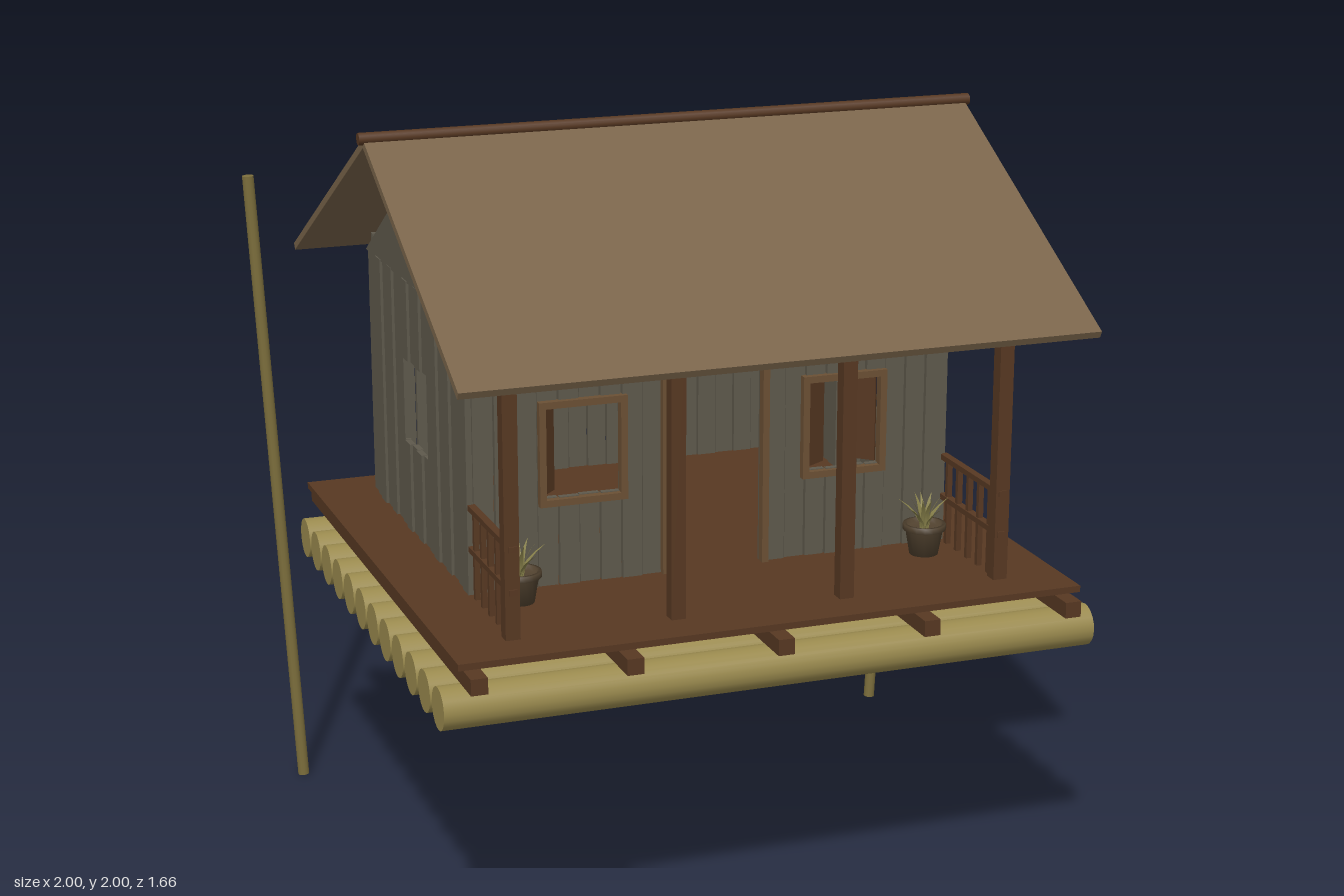
import * as THREE from 'three';

const mat = (name, color) => {
  const m = new THREE.MeshStandardMaterial({ color });
  m.name = name;
  return m;
};

export function createModel() {
  const root = new THREE.Group();
  root.name = 'raftCabin';
  const logWood = mat('logWood', 0x9a8a4e);
  const poleWood = mat('poleWood', 0x7c6e3c);
  const brown = mat('darkBrownWood', 0x573822);
  const wall = mat('weatheredPlank', 0x5e594c);
  const thatch = mat('roofTan', 0x79644a);
  const trim = mat('frameWood', 0x6b5034);
  const clay = mat('potClay', 0x51422f);
  const leaf = mat('leafOlive', 0x87804a);
  leaf.side = THREE.DoubleSide;

  const add = (name, geo, m, x = 0, y = 0, z = 0, parent = root) => {
    const mesh = new THREE.Mesh(geo, m);
    mesh.name = name;
    mesh.position.set(x, y, z);
    parent.add(mesh);
    return mesh;
  };
  const box = (name, m, w, h, d, x, y, z, parent = root) =>
    add(name, new THREE.BoxGeometry(w, h, d), m, x, y, z, parent);

  // Raft logs, joists and deck
  for (let i = 0; i < 12; i++) {
    add('raftLog', new THREE.CylinderGeometry(0.055, 0.055, 1.74, 20), logWood, 0, 0.73, 0.73 - i * 0.1255)
      .rotation.z = Math.PI / 2;
  }
  for (const x of [-0.79, -0.395, 0, 0.395, 0.79]) box('joist', brown, 0.043, 0.042, 1.63, x, 0.807, 0.003);
  box('deck', brown, 1.66, 0.017, 1.55, 0, 0.845, 0);

  // Leaning mooring poles
  for (const s of [-1, 1]) {
    const a = new THREE.Vector3(s * 0.895, 0.001, -0.685), b = new THREE.Vector3(s * 0.983, 1.77, -0.685);
    const pole = add('mooringPole', new THREE.CylinderGeometry(0.016, 0.016, a.distanceTo(b), 12), poleWood);
    pole.position.copy(a).lerp(b, 0.5);
    pole.quaternion.setFromUnitVectors(new THREE.Vector3(0, 1, 0), b.clone().sub(a).normalize());
  }

  // Plank wall in its own XY plane; openings are [u0, u1, y0, y1]
  const plankWall = (name, u0, u1, top, openings, count) => {
    const g = new THREE.Group();
    g.name = name;
    const pitch = (u1 - u0) / count, base = 0.853;
    for (let i = 0; i < count; i++) {
      const a = u0 + i * pitch + 0.002, b = u0 + (i + 1) * pitch - 0.002;
      const out = ((i * 7) % 5) * 0.0022 - 0.0044;
      const cuts = [a, ...openings.flatMap(o => [o[0], o[1]]).filter(c => c > a && c < b), b].sort((p, q) => p - q);
      for (let k = 0; k + 1 < cuts.length; k++) {
        const w = cuts[k + 1] - cuts[k], mid = (cuts[k] + cuts[k + 1]) / 2;
        const hole = openings.find(o => mid > o[0] && mid < o[1]);
        const spans = hole ? [[base, hole[2]], [hole[3], top]] : [[base, top]];
        for (const [y0, y1] of spans) {
          if (y1 - y0 > 0.005) box('plank', wall, w, y1 - y0, 0.016, mid, (y0 + y1) / 2, out, g);
        }
      }
    }
    root.add(g);
    return g;
  };
  const windowHole = s => [s * 0.36 - 0.102, s * 0.36 + 0.102, 1.09, 1.33];
  plankWall('frontWall', -0.65, 0.65, 1.55,
    [windowHole(-1), [-0.13, 0.13, 0.853, 1.395], windowHole(1)], 23).position.z = 0.3;
  const back = plankWall('backWall', -0.65, 0.65, 1.59, [], 23);
  back.position.z = -0.66;
  back.rotation.y = Math.PI;
  for (const s of [-1, 1]) {
    const side = plankWall('sideWall', s > 0 ? -0.31 : -0.67, s > 0 ? 0.67 : 0.31, 1.55,
      [s > 0 ? [0.08, 0.3, 1.1, 1.33] : [-0.3, -0.08, 1.1, 1.33]], 18);
    side.position.x = s * 0.655;
    side.rotation.y = s * Math.PI / 2;
  }

  // Gables reaching out over the porch
  const tri = new THREE.Shape([[-0.67, 1.545], [0.67, 1.545], [0, 1.957]].map(p => new THREE.Vector2(...p)));
  for (const s of [-1, 1]) {
    add('gable', new THREE.ExtrudeGeometry(tri, { depth: 0.018, bevelEnabled: false }), wall, s * 0.655 - 0.009)
      .rotation.y = Math.PI / 2;
  }

  // Roof slopes and ridge pole
  for (const s of [-1, 1]) {
    box('roofSlope', thatch, 1.66, 0.02, 0.937, 0, 1.752, s * 0.412).rotation.x = s * Math.atan2(0.44, 0.825);
  }
  add('ridgePole', new THREE.CylinderGeometry(0.016, 0.016, 1.685, 10), brown, 0, 1.984, 0).rotation.z = Math.PI / 2;

  // Rectangular trim around door and windows
  const frame = (name, x, w, y0, y1) => {
    const g = new THREE.Group();
    g.name = name;
    const t = 0.018, h = y1 - y0;
    for (const s of [-1, 1]) box('jamb', trim, t, h, 0.026, x + s * (w - t) / 2, y0 + h / 2, 0.312, g);
    box('lintel', trim, w - 2 * t, t, 0.026, x, y1 - t / 2, 0.312, g);
    if (y0 > 1) box('sill', trim, w - 2 * t, t, 0.026, x, y0 + t / 2, 0.312, g);
    root.add(g);
  };
  frame('doorFrame', 0, 0.294, 0.853, 1.412);
  box('threshold', brown, 0.294, 0.012, 0.03, 0, 0.842, 0.312);
  for (const s of [-1, 1]) frame('windowFrame', s * 0.36, 0.236, 1.07, 1.347);

  // Shutters swung inward: hinge x, inner x
  for (const [x0, x1] of [[-0.462, -0.418], [0.258, 0.33], [0.462, 0.415]]) {
    const dx = x1 - x0;
    box('shutter', brown, Math.hypot(dx, 0.045), 0.24, 0.008, (x0 + x1) / 2, 1.21, 0.266)
      .rotation.y = Math.atan2(0.045, Math.abs(dx)) * Math.sign(dx);
  }

  // Porch posts and side railings
  for (const x of [-0.657, -0.227, 0.227, 0.657]) {
    box('porchPost', brown, 0.038, 0.745, 0.038, x, 1.2265, 0.642);
  }
  for (const s of [-1, 1]) {
    for (const y of [0.977, 1.087]) box('rail', brown, 0.02, 0.015, 0.36, s * 0.655, y, 0.485);
    for (let i = 0; i < 5; i++) box('baluster', brown, 0.014, 0.23, 0.014, s * 0.655, 0.967, 0.598 - i * 0.0635);
  }

  // Potted plants with pointed, outward-bending leaves
  const pot = [[0, 0], [0.038, 0], [0.05, 0.068], [0.057, 0.068], [0.057, 0.084], [0.048, 0.084], [0.046, 0.07], [0, 0.07]]
    .map(p => new THREE.Vector2(...p));
  for (const s of [-1, 1]) {
    const g = new THREE.Group();
    g.name = 'pottedPlant';
    g.position.set(s * 0.56, 0.854, 0.4);
    add('pot', new THREE.LatheGeometry(pot, 16), clay, 0, 0, 0, g);
    for (let i = 0; i < 11; i++) {
      const geo = new THREE.PlaneGeometry(0.018, 1, 1, 4), p = geo.attributes.position;
      const reach = i % 2 ? 0.068 : 0.035, height = i % 2 ? 0.075 : 0.09;
      for (let k = 0; k < p.count; k++) {
        const t = p.getY(k) + 0.5;
        p.setXYZ(k, p.getX(k) * (1 - t * t), 0.07 + height * t, 0.008 + reach * t * t);
      }
      geo.computeVertexNormals();
      add('leaf', geo, leaf, 0, 0, 0, g).rotation.y = i * Math.PI * 2 / 11;
    }
    root.add(g);
  }
  return root;
}
